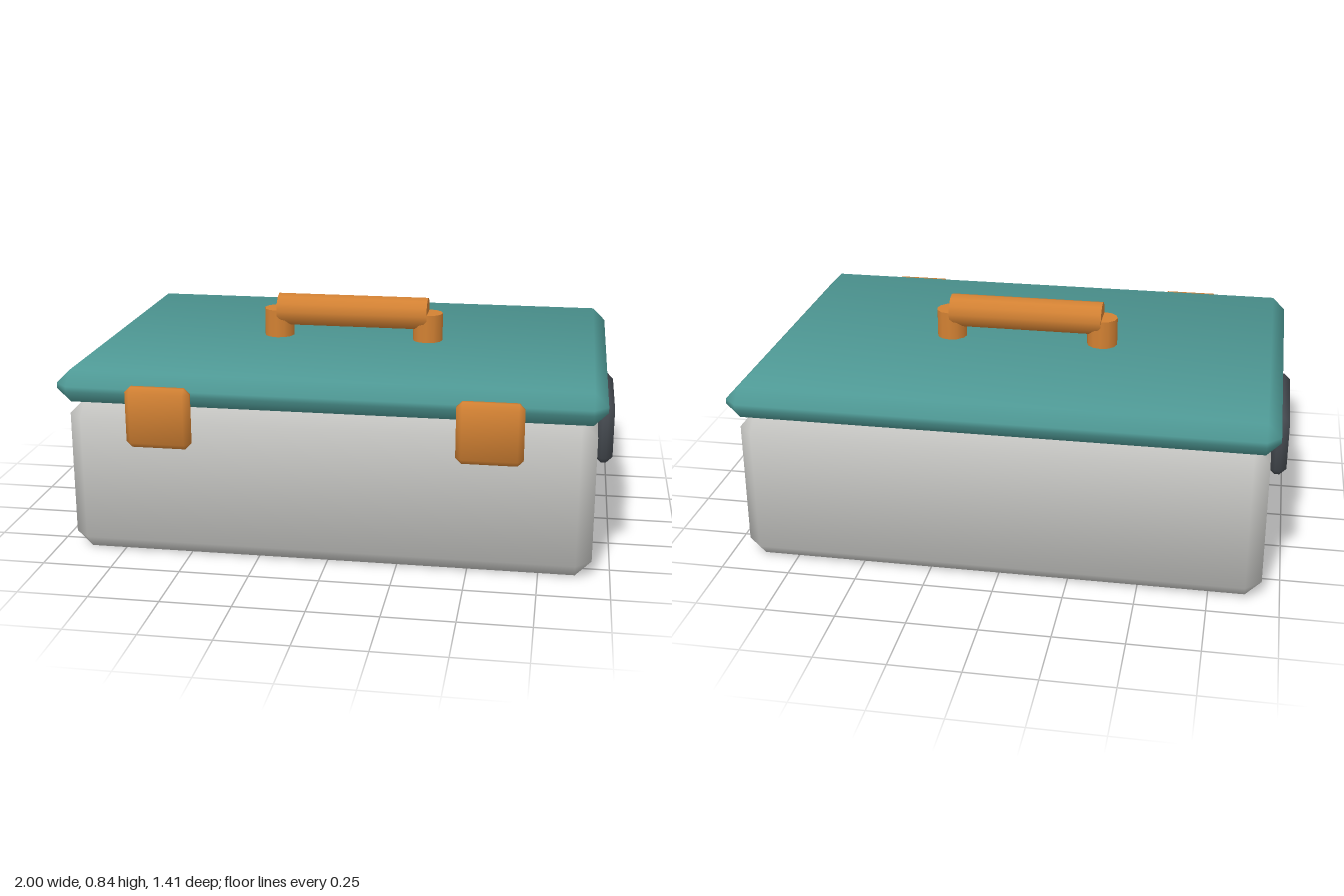
import * as THREE from 'three';
import { ConvexGeometry } from 'three/addons/geometries/ConvexGeometry.js';

const mat = (name, color) => new THREE.MeshStandardMaterial({ name, color });

// Box with one chamfer on every edge and soft corner normals
function chamferBox(w, h, d, c) {
  const half = [w / 2, h / 2, d / 2];
  const pts = [];
  for (const sx of [-1, 1]) for (const sy of [-1, 1]) for (const sz of [-1, 1]) {
    const s = [sx, sy, sz];
    for (let axis = 0; axis < 3; axis++) {
      pts.push(new THREE.Vector3(...half.map((v, i) => s[i] * (i === axis ? v : v - c))));
    }
  }
  const geo = new ConvexGeometry(pts);
  const pos = geo.attributes.position, nor = geo.attributes.normal;
  const n = new THREE.Vector3();
  for (let i = 0; i < pos.count; i++) {
    const p = [pos.getX(i), pos.getY(i), pos.getZ(i)];
    // each corner point leans mostly toward the flat face it belongs to
    n.set(...p.map((v, k) => Math.sign(v) * (half[k] - Math.abs(v) < c / 2 ? 0.87 : 0.34))).normalize();
    nor.setXYZ(i, n.x, n.y, n.z);
  }
  return geo;
}

export function createModel() {
  const model = new THREE.Group();
  model.name = 'coolBox';

  const grey = mat('light grey shell', 0xc6c6c3);
  const teal = mat('teal lid', 0x4f9a96);
  const orange = mat('orange trim', 0xd28133);
  const dark = mat('dark grey grip', 0x454a50);

  const add = (name, geo, material, x, y, z) => {
    const mesh = new THREE.Mesh(geo, material);
    mesh.name = name;
    mesh.position.set(x, y, z);
    model.add(mesh);
    return mesh;
  };
  const zMid = -0.0275;

  // Shell and lid
  add('body', chamferBox(1.87, 0.565, 1.295, 0.056), grey, 0, 0.2825, zMid);
  add('lid', chamferBox(1.93, 0.115, 1.355, 0.048), teal, 0, 0.6215, zMid);

  // Carrying handle
  const bar = add('handleBar', new THREE.CylinderGeometry(0.062, 0.062, 0.576, 12), orange, 0, 0.78, zMid);
  bar.rotation.z = Math.PI / 2;

  for (const [side, s] of [['left', 1], ['right', -1]]) {
    add(side + 'HandlePost', new THREE.CylinderGeometry(0.057, 0.057, 0.125, 12), orange, s * 0.288, 0.7215, zMid);
    // Front latches
    add(side + 'Latch', chamferBox(0.23, 0.218, 0.055, 0.02), orange, s * 0.575, 0.544, 0.6785);
    // Side grips
    add(side + 'SideGrip', chamferBox(0.066, 0.23, 0.465, 0.024), dark, s * 0.967, 0.405, zMid);
  }
  return model;
}
